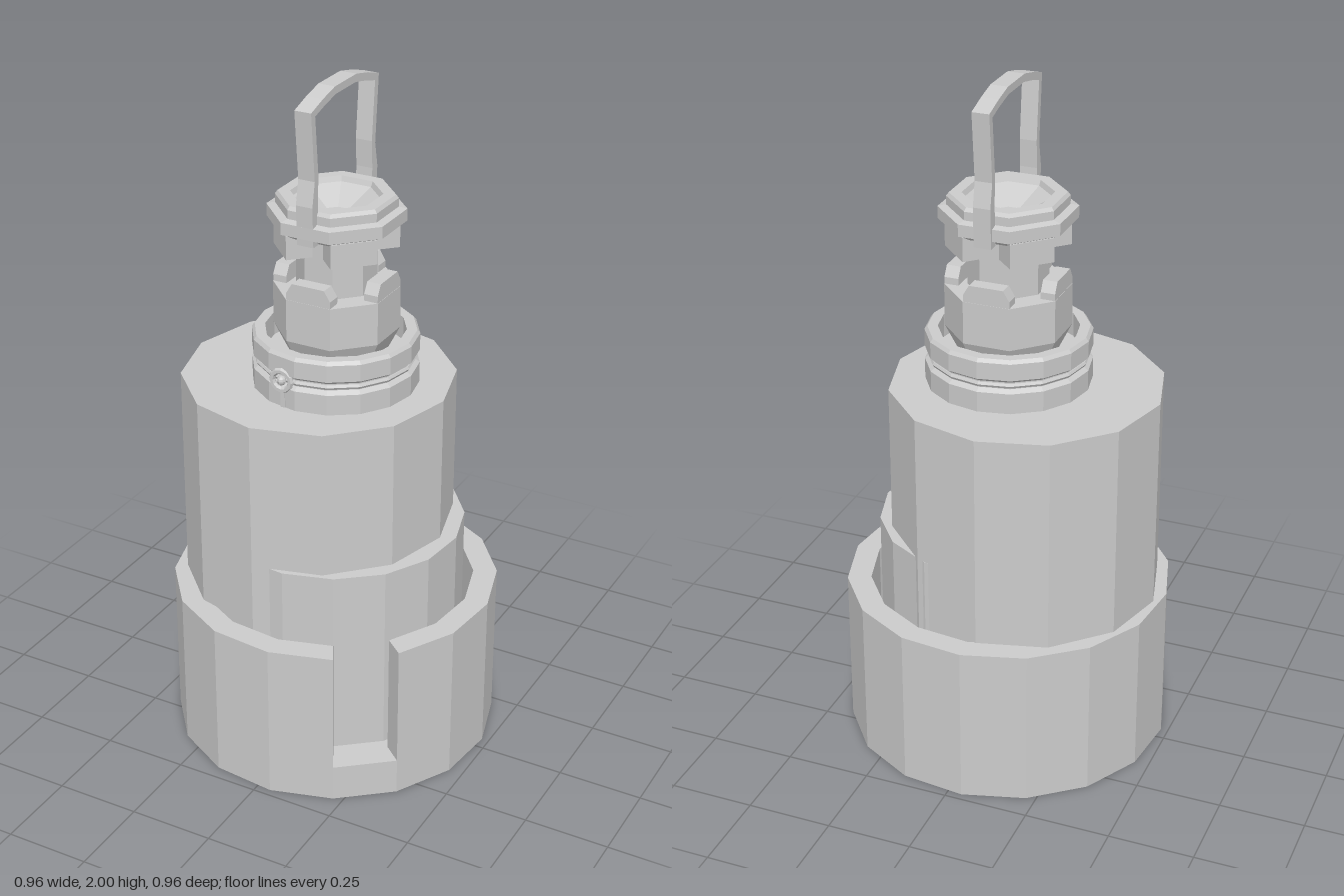
import * as THREE from 'three';

const mat = new THREE.MeshStandardMaterial({ color: 0xcccccc, flatShading: true, side: THREE.DoubleSide });
const rad = THREE.MathUtils.degToRad;

export function createModel() {
  const model = new THREE.Group();
  const add = (name, geometry, x = 0, y = 0, z = 0, parent = model) => {
    const mesh = new THREE.Mesh(geometry, mat);
    mesh.name = name;
    mesh.position.set(x, y, z);
    parent.add(mesh);
    return mesh;
  };
  // Faceted turned part: profile of [radius, y] listed bottom to top on the outside
  const turned = (profile, sides, startDeg = 0) =>
    new THREE.LatheGeometry(profile.map(p => new THREE.Vector2(...p)), sides, rad(startDeg));
  // Octagon profile given by distance to the flats, flats facing the axes
  const oct = profile => turned(profile.map(([a, y]) => [a / Math.cos(Math.PI / 8), y]), 8, 22.5);

  // Base floor, and a wall ring missing one of its sixteen sides
  add('baseFloor', turned([[0, 0], [0.48, 0], [0.48, 0.11], [0, 0.11]], 16, 5));
  const wall = new THREE.Shape();
  const corner = (r, k) => {
    const a = rad(62.5 + 22.5 * k);
    return new THREE.Vector2(r * Math.cos(a), -r * Math.sin(a));
  };
  const ring = [];
  for (let k = 0; k <= 15; k++) ring.push(corner(0.48, k));
  for (let k = 15; k >= 0; k--) ring.push(corner(0.41, k));
  wall.setFromPoints(ring);
  const wallGeo = new THREE.ExtrudeGeometry(wall, { depth: 0.37, bevelEnabled: false });
  wallGeo.rotateX(-Math.PI / 2);
  add('baseWall', wallGeo, 0, 0.11, 0);

  // Inner sleeve and the off-centre main body
  add('sleeve', turned([[0.378, 0.11], [0.378, 0.68], [0, 0.68]], 16, 5));
  add('body', turned([[0, 0.11], [0.395, 0.11], [0.395, 1.12], [0, 1.12]], 12), -0.06, 0, -0.01);

  // Grooved collar with a recessed top
  add('collar', turned([
    [0.238, 1.12], [0.238, 1.18], [0.225, 1.19], [0.225, 1.21], [0.238, 1.22],
    [0.238, 1.27], [0.23, 1.28], [0.2, 1.28], [0.2, 1.21], [0, 1.21]], 16));
  const wire = add('collarWire', new THREE.TorusGeometry(0.224, 0.008, 6, 16), 0, 1.2, 0);
  wire.rotation.x = Math.PI / 2;

  // Small eyelet on the front of the collar
  add('eyelet', new THREE.TorusGeometry(0.029, 0.009, 6, 12), -0.045, 1.2, 0.23);
  add('eyeletPin', new THREE.SphereGeometry(0.014, 8, 6), -0.045, 1.2, 0.23);
  add('eyeletStem', new THREE.BoxGeometry(0.014, 0.05, 0.012), -0.04, 1.145, 0.228);

  // Octagonal neck, column and dished cap
  const head = new THREE.Group();
  head.name = 'head';
  head.position.z = -0.005;
  model.add(head);
  add('neck', oct([[0.13, 1.21], [0.165, 1.285], [0.165, 1.41], [0, 1.41]]), 0, 0, 0, head);
  add('column', oct([[0.105, 1.41], [0.105, 1.6]]), 0, 0, 0, head);
  add('cap', oct([
    [0, 1.585], [0.145, 1.585], [0.165, 1.6], [0.179, 1.605], [0.179, 1.64], [0.157, 1.645],
    [0.157, 1.67], [0.15, 1.68], [0.118, 1.68], [0.112, 1.665], [0.04, 1.62], [0, 1.62]]), 0, 0, 0, head);

  // Chamfered tabs on the neck flats, blocks under the cap on the diagonals
  const tab = new THREE.Shape([[-0.068, 0], [0.068, 0], [0.068, 0.02], [0.05, 0.05], [-0.05, 0.05], [-0.068, 0.02]]
    .map(p => new THREE.Vector2(...p)));
  const tabGeo = new THREE.ExtrudeGeometry(tab, { depth: 0.042, bevelEnabled: false });
  tabGeo.translate(0, 1.41, 0.122);
  const blockGeo = new THREE.BoxGeometry(0.13, 0.07, 0.075).translate(0, 1.56, 0.125);
  for (let i = 0; i < 4; i++) {
    add('neckTab', tabGeo, 0, 0, 0, head).rotation.y = i * Math.PI / 2;
    add('capBlock', blockGeo, 0, 0, 0, head).rotation.y = (i + 0.5) * Math.PI / 2;
  }

  // Strap handle: outline in (z, y), extruded across x
  const outer = [[0.182, 1.585], [0.186, 1.7], [0.172, 1.77], [0.19, 1.965], [0.125, 1.985], [0.06, 2.0]];
  const inner = [[0.15, 1.585], [0.156, 1.7], [0.152, 1.78], [0.168, 1.95], [0.115, 1.965], [0.055, 1.978]];
  const mirrored = pts => [...pts, ...pts.map(([z, y]) => [-z, y]).reverse()];
  const strap = new THREE.Shape([...mirrored(outer), ...mirrored(inner).reverse()]
    .map(p => new THREE.Vector2(...p)));
  const strapGeo = new THREE.ExtrudeGeometry(strap, { depth: 0.05, bevelEnabled: false });
  strapGeo.translate(0, 0, -0.025).rotateY(-Math.PI / 2);
  add('handle', strapGeo, 0, 0, -0.01);

  return model;
}
